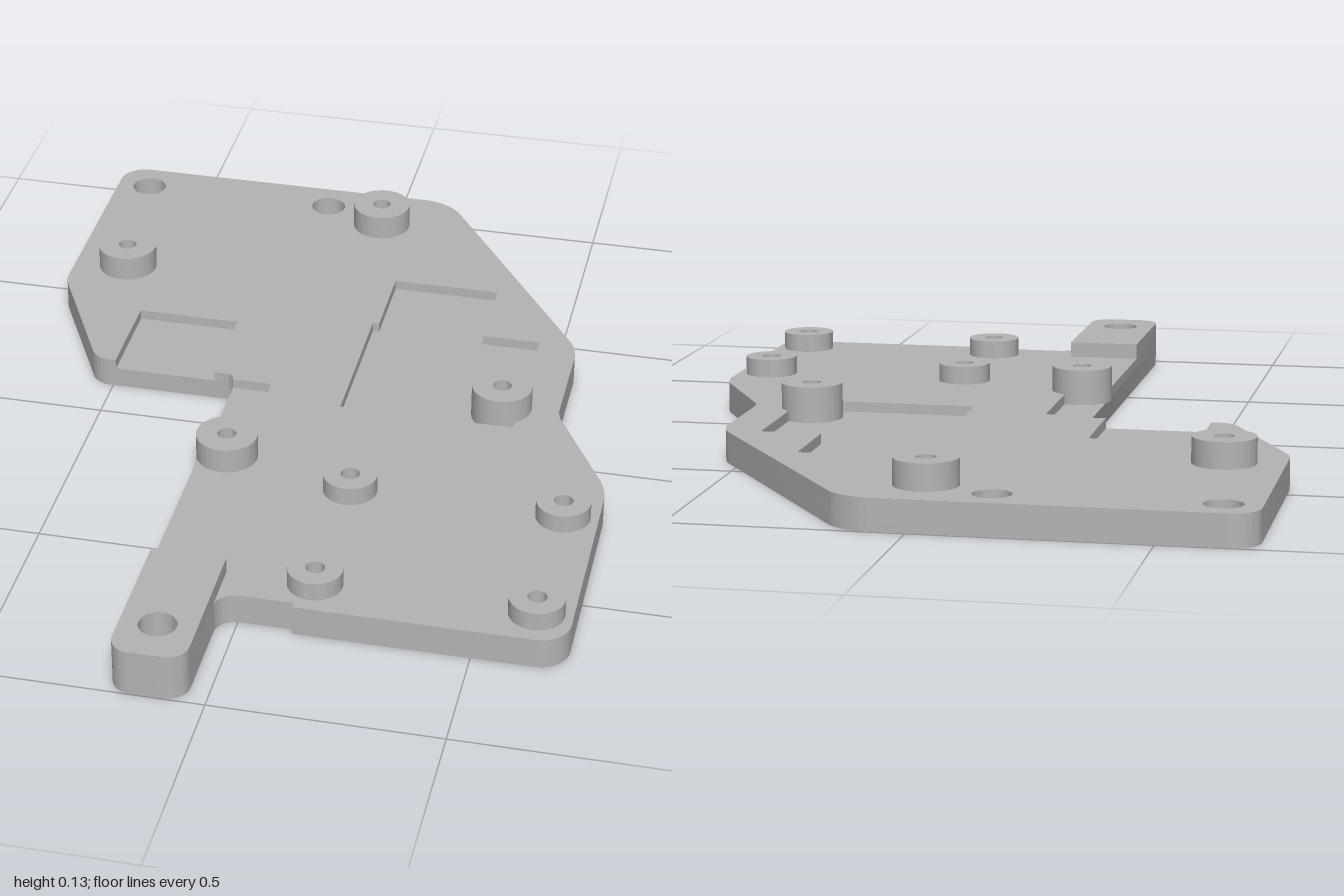
import * as THREE from 'three';
import { toCreasedNormals } from 'three/addons/utils/BufferGeometryUtils.js';

const FLOOR = 0.047; // height of the pocket floors
const TOP = 0.07; // height of the plate surface

// Closed path from [x, z, cornerRadius] points seen from above
function trace(path, points) {
  const n = points.length;
  const at = (i) => new THREE.Vector2(points[(i + n) % n][0], -points[(i + n) % n][1]);
  for (let i = 0; i < n; i++) {
    const p = at(i), r = points[i][2] || 0;
    const a = at(i - 1).sub(p).setLength(r).add(p);
    const b = at(i + 1).sub(p).setLength(r).add(p);
    if (i === 0) path.moveTo(a.x, a.y);
    else path.lineTo(a.x, a.y);
    if (r > 0) {
      const c = a.clone().lerp(p, 0.55), d = b.clone().lerp(p, 0.55);
      path.bezierCurveTo(c.x, c.y, d.x, d.y, b.x, b.y);
    }
  }
  path.closePath();
  return path;
}

// Round hole at x, z
function hole(x, z, r = 0.041) {
  const path = new THREE.Path();
  path.absarc(x, -z, r, 0, Math.PI * 2, true);
  return path;
}

// Horizontal slab between two heights
function slab(name, points, holes, y0, y1, material) {
  const shape = trace(new THREE.Shape(), points);
  shape.holes.push(...holes);
  const geo = new THREE.ExtrudeGeometry(shape, { depth: y1 - y0, bevelEnabled: false, curveSegments: 14 });
  geo.rotateX(-Math.PI / 2);
  geo.translate(0, y0, 0);
  const mesh = new THREE.Mesh(toCreasedNormals(geo, 0.5), material);
  mesh.name = name;
  return mesh;
}

// Round post with a blind screw hole
function standoff(name, x, z, r, top, material) {
  const profile = [[r, FLOOR], [r, top], [0.021, top], [0.021, TOP], [0, TOP]];
  const geo = new THREE.LatheGeometry(profile.map(([a, b]) => new THREE.Vector2(a, b)), 40);
  const mesh = new THREE.Mesh(toCreasedNormals(geo, 0.5), material);
  mesh.position.set(x, 0, z);
  mesh.name = name;
  return mesh;
}

export function createModel() {
  const group = new THREE.Group();
  group.name = 'mountingPlate';
  const grey = new THREE.MeshStandardMaterial({ color: 0xb4b4b4, side: THREE.DoubleSide });
  grey.name = 'plain grey';

  // Outline split around the two pockets that open onto the edge
  const rightSide = [
    [-0.705, -1, 0.06], [0.135, -1, 0.06], [0.55, -0.39, 0.04], [0.55, -0.105, 0.02],
    [0.7, 0.165, 0.04], [0.7, 0.73, 0.065], [0.12, 0.73], [0.12, 0.715],
    [-0.042, 0.715, 0.045], [-0.042, 0.997, 0.045], [-0.206, 0.997, 0.045],
  ];
  const innerCorner = [[-0.206, -0.11, 0.02]];
  const leftSide = [[-0.54, -0.11, 0.03], [-0.705, -0.435, 0.02]];
  const sideNotch = [[-0.206, 0.2], [-0.115, 0.2], [-0.115, -0.09], [-0.206, -0.09]];
  const frontNotch = [[-0.255, -0.11], [-0.255, -0.335], [-0.492, -0.335], [-0.492, -0.11]];

  // Stepped pocket in the middle of the plate
  const pocket = trace(new THREE.Path(), [
    [0.075, -0.6], [0.325, -0.6], [0.325, -0.4], [0.46, -0.4],
    [0.46, -0.033], [0.06, -0.033], [0.06, -0.4], [0.075, -0.4],
  ]);

  const screwHoles = () => [hole(-0.625, -0.917), hole(-0.16, -0.917), hole(-0.125, 0.893)];
  group.add(
    slab('basePlate', [...rightSide, ...innerCorner, ...leftSide], screwHoles(), 0, FLOOR, grey),
    slab('pocketedPlate', [...rightSide, ...sideNotch, ...innerCorner, ...frontNotch, ...leftSide],
      [...screwHoles(), pocket], FLOOR, TOP, grey),
    // Raised pad on the mounting tab
    slab('tabPad', [[-0.206, 0.64], [-0.042, 0.64], [-0.042, 0.997, 0.045], [-0.206, 0.997, 0.045]],
      [hole(-0.125, 0.893)], TOP, 0.106, grey),
  );

  // Tall standoffs
  for (const [x, z] of [[-0.012, -0.858], [-0.576, -0.532], [0.419, -0.112], [-0.145, 0.213]])
    group.add(standoff('tallStandoff', x, z, 0.069, 0.128, grey));

  // Short standoffs in a rectangle
  for (const x of [0.15, 0.622])
    for (const z of [0.284, 0.638]) group.add(standoff('shortStandoff', x, z, 0.06, 0.112, grey));

  return group;
}
